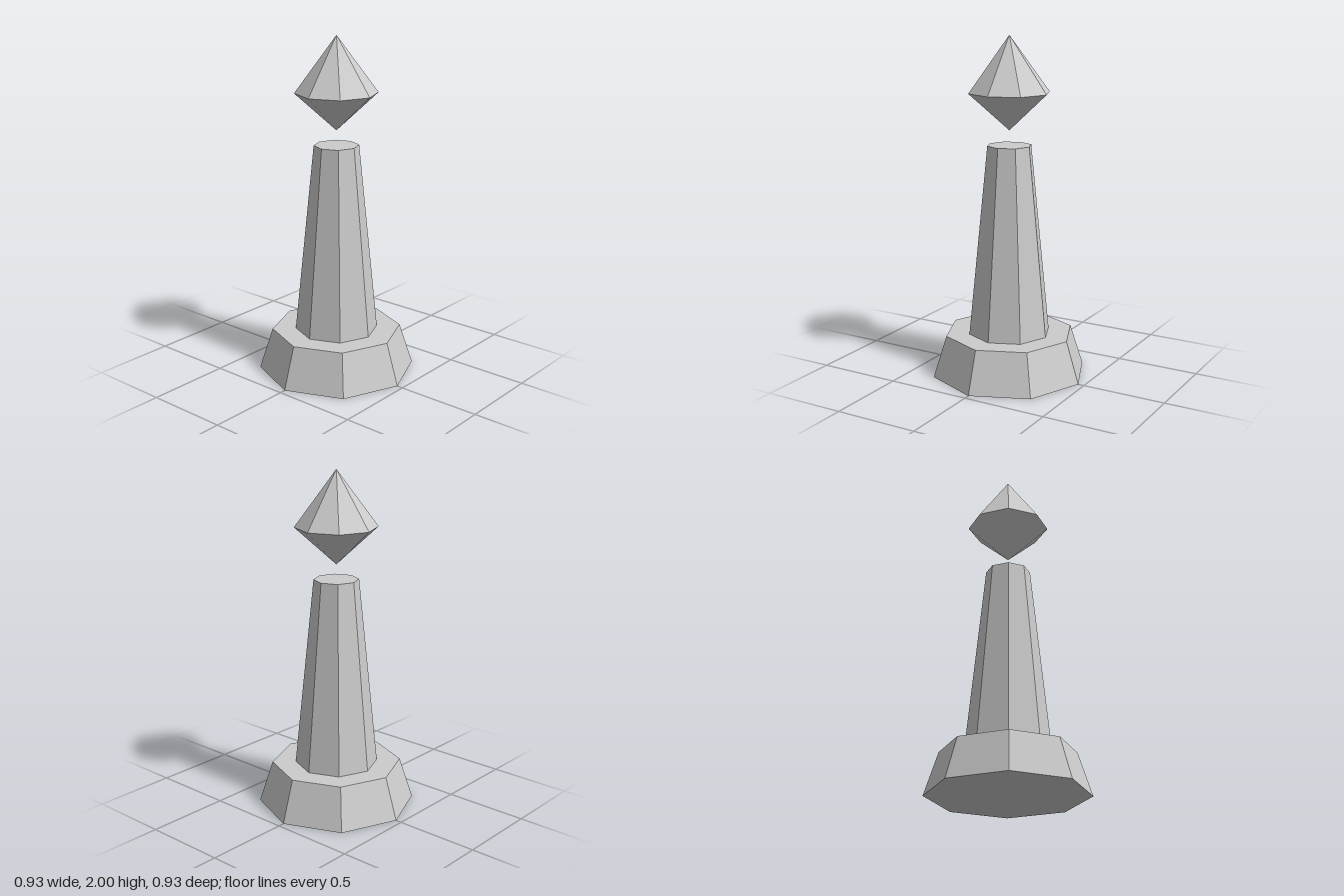
import * as THREE from 'three';

const SIDES = 8;

export function createModel() {
  const group = new THREE.Group();
  const stone = new THREE.MeshStandardMaterial({ color: 0xcccccc, flatShading: true });
  stone.name = 'light grey stone';

  function add(name, geometry, y) {
    const mesh = new THREE.Mesh(geometry, stone);
    mesh.name = name;
    mesh.position.y = y;
    group.add(mesh);
  }

  // Tapered octagonal frustum standing between two heights
  function frustum(name, bottomRadius, topRadius, y0, y1) {
    add(name, new THREE.CylinderGeometry(topRadius, bottomRadius, y1 - y0, SIDES), (y0 + y1) / 2);
  }

  frustum('base', 0.464, 0.384, 0, 0.248);
  frustum('column', 0.245, 0.131, 0.248, 1.372);

  // Floating crystal: tall upper pyramid, shorter lower one
  const girdle = 1.675, radius = 0.24, top = 2, bottom = 1.458;
  add('crystalTop', new THREE.CylinderGeometry(0, radius, top - girdle, SIDES, 1, true), (top + girdle) / 2);
  add('crystalBottom', new THREE.CylinderGeometry(radius, 0, girdle - bottom, SIDES, 1, true), (girdle + bottom) / 2);

  return group;
}
